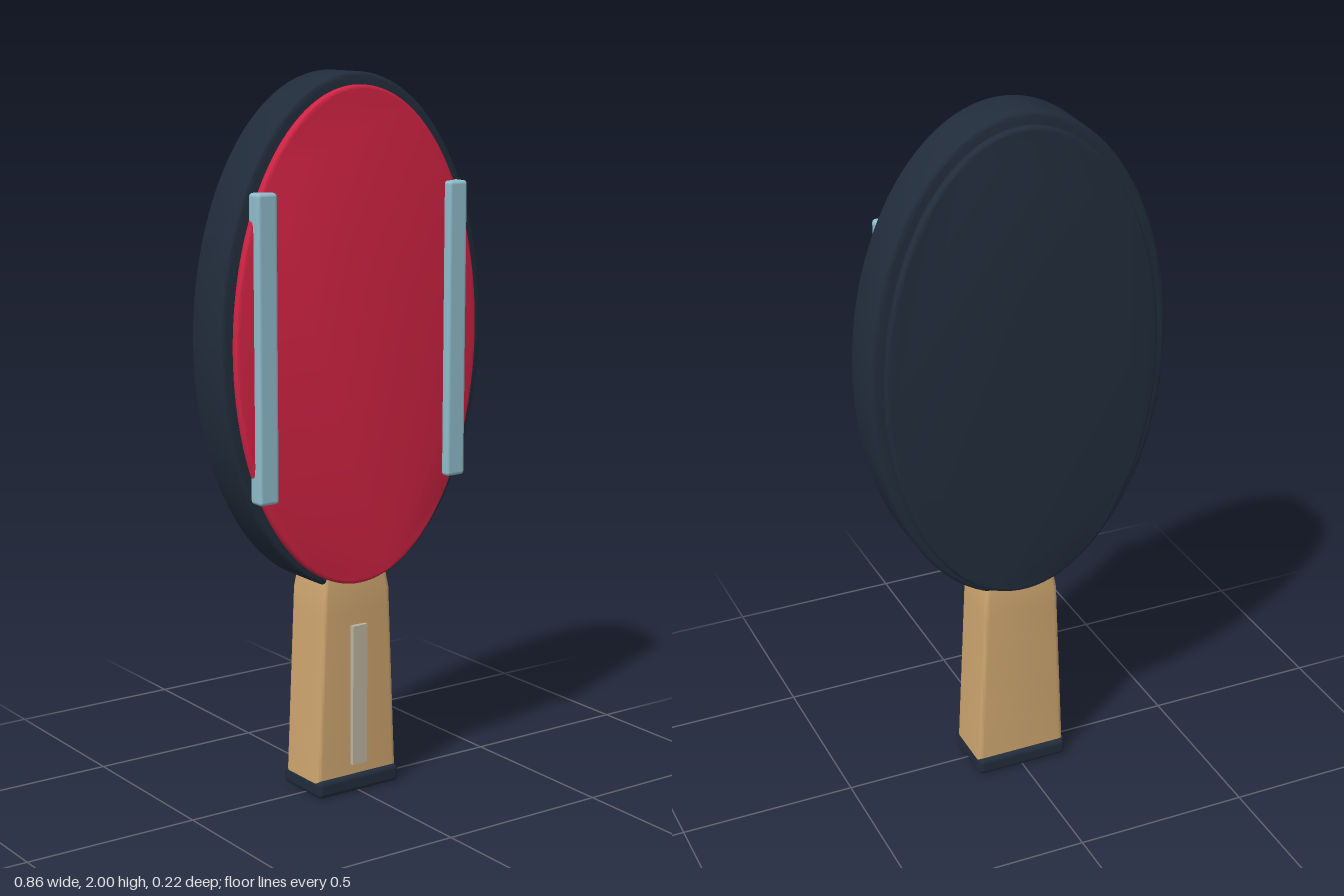
import * as THREE from 'three';
import { toCreasedNormals } from 'three/addons/utils/BufferGeometryUtils.js';
import { RoundedBoxGeometry } from 'three/addons/geometries/RoundedBoxGeometry.js';

const material = (name, color) => new THREE.MeshStandardMaterial({ name, color });

// Upright elliptical plate with rounded rims, from z0 to z1
function ellipsePlate(rx, ry, y, z0, z1, bevel) {
  const shape = new THREE.Shape();
  shape.absellipse(0, 0, rx, ry, 0, Math.PI * 2, false, 0);
  const geo = new THREE.ExtrudeGeometry(shape, {
    depth: z1 - z0 - 2 * bevel, curveSegments: 80,
    bevelThickness: bevel, bevelSize: bevel, bevelOffset: -bevel, bevelSegments: 4,
  });
  geo.translate(0, y, z0 + bevel);
  return toCreasedNormals(geo, 0.6);
}

// Flared grip with softened long edges and a slightly tapered neck
function gripGeometry(y0, y1) {
  const w = 0.135, d = 0.08, r = 0.015;
  const s = new THREE.Shape();
  s.moveTo(-w + r, -d);
  s.lineTo(w - r, -d).quadraticCurveTo(w, -d, w, -d + r);
  s.lineTo(w, d - r).quadraticCurveTo(w, d, w - r, d);
  s.lineTo(-w + r, d).quadraticCurveTo(-w, d, -w, d - r);
  s.lineTo(-w, -d + r).quadraticCurveTo(-w, -d, -w + r, -d);
  const geo = new THREE.ExtrudeGeometry(s, { depth: y1 - y0, steps: 11, curveSegments: 4, bevelEnabled: false });
  geo.rotateX(-Math.PI / 2);
  geo.translate(0, y0, 0);
  const p = geo.attributes.position;
  for (let i = 0; i < p.count; i++) {
    const y = p.getY(i);
    const flare = THREE.MathUtils.mapLinear(y, y0, 0.576, 1, 0.82);
    const neck = Math.max(0, (y - 0.576) / (y1 - 0.576));
    p.setX(i, p.getX(i) * (flare - 0.05 * neck));
    p.setZ(i, p.getZ(i) * (1 - 0.06 * neck) - 0.01);
  }
  geo.computeVertexNormals();
  return toCreasedNormals(geo, 0.5);
}

export function createModel() {
  const model = new THREE.Group();
  model.name = 'paddle';
  const dark = material('dark navy', 0x212c3b);
  const red = material('red rubber', 0xd02343);
  const wood = material('light wood', 0xcda56f);
  const blue = material('pale blue', 0x8fbccb);
  const grey = material('warm grey', 0xbcb59f);

  const add = (name, geo, mat, x = 0, y = 0, z = 0) => {
    const mesh = new THREE.Mesh(geo, mat);
    mesh.name = name;
    mesh.position.set(x, y, z);
    model.add(mesh);
  };

  // Blade with a rubber sheet on each face
  add('blade', ellipsePlate(0.43, 0.705, 1.295, -0.088, 0.062, 0.014), dark);
  add('frontRubber', ellipsePlate(0.395, 0.68, 1.286, 0.055, 0.084, 0.009), red);
  add('backRubber', ellipsePlate(0.395, 0.68, 1.286, -0.11, -0.081, 0.009), dark);

  // Side rails standing proud of the front face
  for (const side of [-1, 1]) {
    add(side > 0 ? 'leftRail' : 'rightRail',
      new RoundedBoxGeometry(0.062, 0.825, 0.05, 3, 0.01), blue, side * 0.311, 1.287, 0.083);
  }

  // Handle, end cap and inlaid strip
  add('handle', gripGeometry(0.035, 0.63), wood);
  add('endCap', new RoundedBoxGeometry(0.272, 0.05, 0.186, 3, 0.014), dark, 0, 0.025, -0.01);
  add('handleStrip', new THREE.BoxGeometry(0.048, 0.405, 0.018), grey, 0, 0.283, 0.074);

  return model;
}
